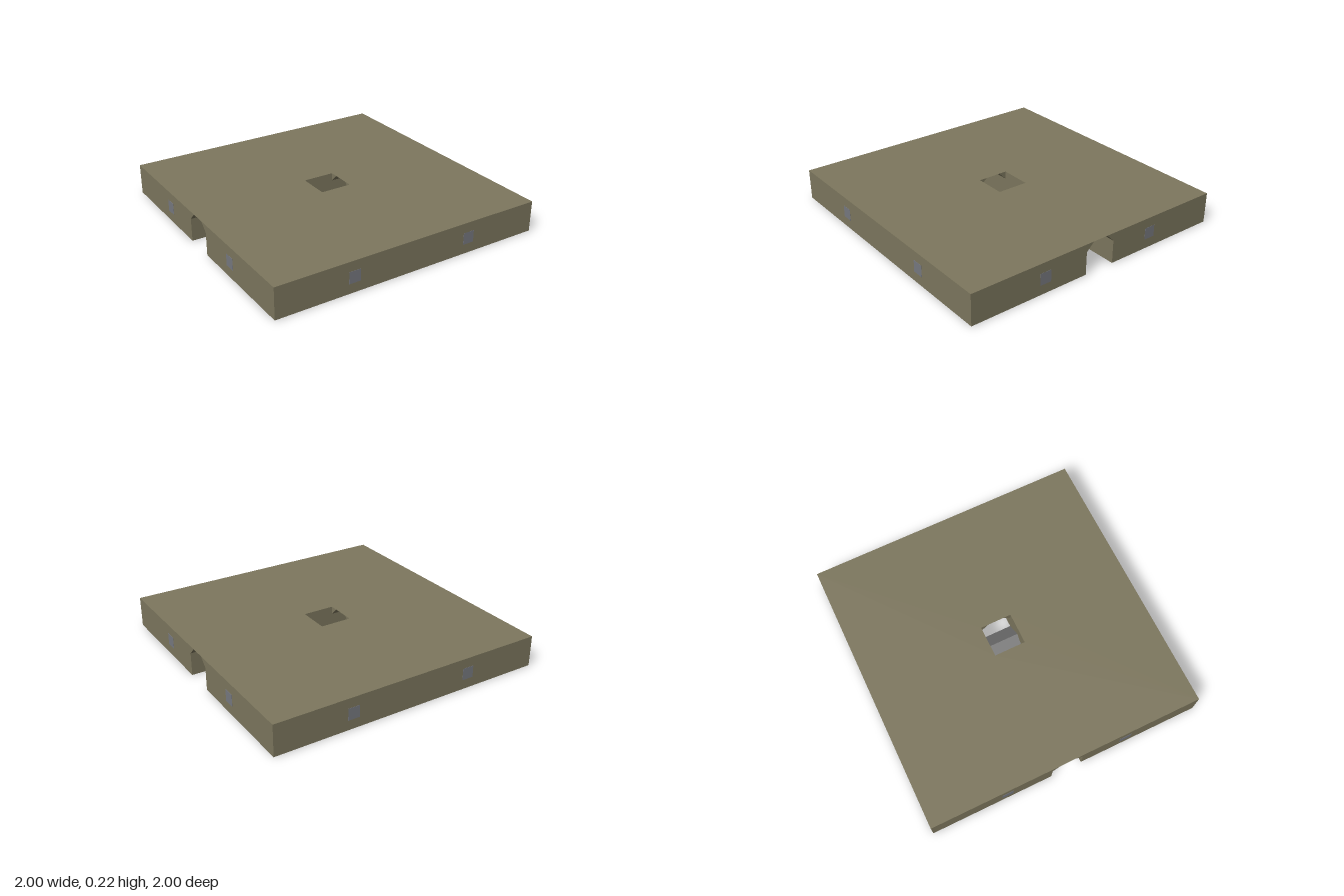
import * as THREE from 'three';
import { mergeGeometries } from 'three/addons/utils/BufferGeometryUtils.js';

const H = 0.222;        // slab height
const W = 0.114;        // half width of channel and shaft
const C = 0.057;        // half width of channel roof
const Y = H - (W - C);  // where the channel walls start to slope in
const P = 0.445;        // port offset from the centre

const material = (name, color, side = THREE.FrontSide) => {
  const m = new THREE.MeshStandardMaterial({ color, side });
  m.name = name;
  return m;
};

const shape = (points) => new THREE.Shape(points.map(([u, v]) => new THREE.Vector2(u, v)));

// Flat polygon whose (u, v) points are placed in space by a rule
function panel(outline, place) {
  const g = new THREE.ShapeGeometry(outline);
  const p = g.attributes.position;
  for (let i = 0; i < p.count; i++) p.setXYZ(i, ...place(p.getX(i), p.getY(i)));
  g.computeVertexNormals();
  return g;
}

const rect = (u0, v0, u1, v1) => shape([[u0, v0], [u1, v0], [u1, v1], [u0, v1]]);

export function createModel() {
  const model = new THREE.Group();
  model.name = 'channelSlab';
  const stone = material('olive stone', 0x7d775e, THREE.DoubleSide);
  const grey = material('wedge grey', 0x808080);
  const portGrey = material('port grey', 0x777980);
  const yellow = material('arrow yellow', 0xc8b045);

  const add = (name, geometry, mat, x = 0, y = 0, z = 0) => {
    const mesh = new THREE.Mesh(geometry, mat);
    mesh.name = name;
    mesh.position.set(x, y, z);
    model.add(mesh);
    return mesh;
  };

  // Top skin with the square shaft opening
  const top = rect(-1, -1, 1, 1);
  top.holes.push(new THREE.Path(rect(-W, -W, W, W).getPoints()));
  const faces = [panel(top, (u, v) => [u, H, -v])];

  // Half slabs on both sides of the channel
  const section = shape([[W, 0], [1, 0], [1, H], [C, H], [W, Y]]);
  const wall = shape([[-1, 0], [1, 0], [1, Y], [W, Y], [W, H], [-W, H], [-W, Y], [-1, Y]]);
  for (const s of [-1, 1]) {
    faces.push(
      panel(rect(-1, 0, 1, H), (u, v) => [u, v, s]),             // outer side
      panel(rect(-1, W, 1, 1), (u, v) => [u, 0, s * v]),         // underside
      panel(wall, (u, v) => [u, v, s * W]),                      // channel wall
    );
    for (const e of [-1, 1]) {
      faces.push(
        panel(section, (u, v) => [e, v, s * u]),                 // open end
        panel(rect(W, 0, 1, 1), (u, v) =>                        // sloped haunch
          [e * u, Y + (H - Y) * v, s * (W + (C - W) * v)]),
        panel(shape([[W, Y], [W, H], [C, H]]), (u, v) => [e * W, v, s * u]), // shaft corner
      );
    }
  }
  add('slab', mergeGeometries(faces), stone);

  // Ridge-shaped splitter below the shaft
  const ridge = new THREE.ExtrudeGeometry(shape([[-W, 0], [W, 0], [0, H / 2]]),
    { depth: 2 * W, bevelEnabled: false });
  add('splitterWedge', ridge, grey, 0, 0, -W);

  // Square ports on the outer sides and the channel walls
  const zPort = new THREE.BoxGeometry(0.084, 0.084, 0.003);
  const xPort = new THREE.BoxGeometry(0.003, 0.084, 0.084);
  for (const a of [-1, 1]) {
    for (const b of [-1, 1]) {
      add('sidePort', zPort, portGrey, a * P, H / 2, b);
      add('endPort', xPort, portGrey, b, H / 2, a * P);
      add('channelPort', zPort, portGrey, a * P, H / 2, b * W);
    }
  }

  // Flow arrow on the underside, pointing to +x
  const arrow = new THREE.ExtrudeGeometry(shape([[0.11, 0], [0.01, 0.1], [0.01, 0.05],
    [-0.11, 0.05], [-0.11, -0.05], [0.01, -0.05], [0.01, -0.1]]),
    { depth: 0.003, bevelEnabled: false });
  arrow.rotateX(Math.PI / 2);
  add('flowArrow', arrow, yellow, 0.667, 0.0015, -P);

  return model;
}
